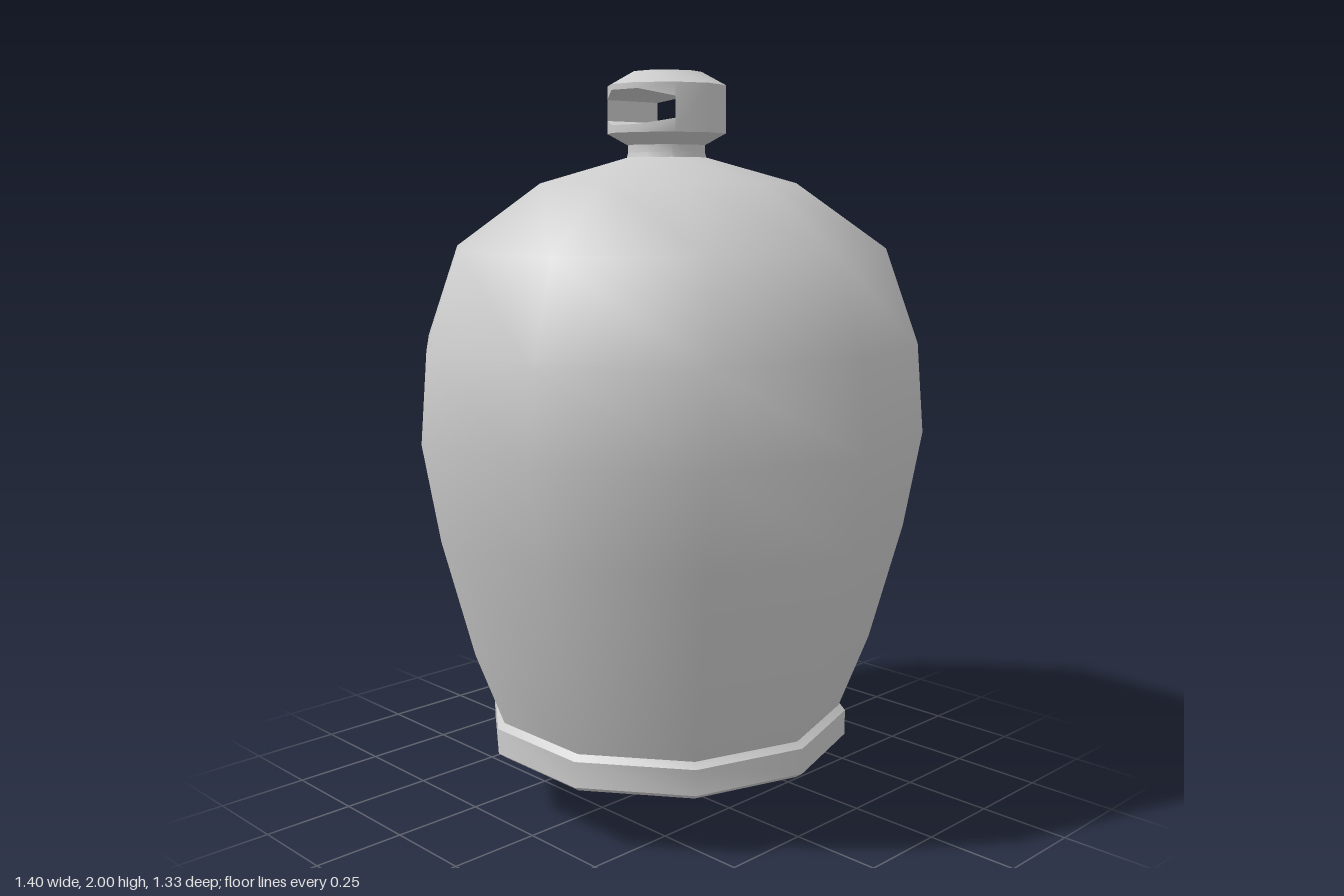
import * as THREE from 'three';
import { toCreasedNormals } from 'three/addons/utils/BufferGeometryUtils.js';

const SIDES = 10;

export function createModel() {
  const group = new THREE.Group();
  const material = new THREE.MeshStandardMaterial({ color: 0xcccccc, side: THREE.DoubleSide });

  const add = (name, geometry) => {
    const mesh = new THREE.Mesh(geometry, material);
    mesh.name = name;
    group.add(mesh);
  };
  // Ten-sided turned part with a corner on the x axis
  const turn = (name, profile, crease = 0) => {
    const points = profile.map(([r, y]) => new THREE.Vector2(r, y));
    const geometry = new THREE.LatheGeometry(points, SIDES, Math.PI / 2);
    add(name, crease ? toCreasedNormals(geometry, crease) : geometry);
  };

  // Bell shell, outside and inside
  const shell = [[0.49, 0.26], [0.57, 0.47], [0.655, 0.79], [0.70, 1.05],
    [0.68, 1.29], [0.59, 1.54], [0.35, 1.71], [0.10, 1.78]];
  turn('bellBody', [...shell, [0, 1.785]]);
  const inside = shell.map(([r, y]) => [Math.max(r - 0.03, 0), y - 0.025]);
  turn('bellInside', [[0.46, 0.18], ...inside, [0, 1.755]].reverse());

  // Lip band around the mouth
  turn('rim', [[0.46, 0.18], [0.47, 0.165], [0.49, 0.165], [0.51, 0.18],
    [0.51, 0.25], [0.485, 0.27], [0.46, 0.27]], 0.66);

  // Clapper hanging inside
  turn('clapper', [[0, 0], [0.04, 0.003], [0.10, 0.03], [0.15, 0.07], [0.187, 0.12],
    [0.20, 0.18], [0.185, 0.25], [0.14, 0.33], [0.095, 0.40], [0.075, 0.48],
    [0.06, 0.70], [0.05, 1.75]]);

  // Neck, lower bevel and upper cap of the hanging knob
  turn('neck', [[0.11, 1.77], [0.105, 1.79], [0.105, 1.815]], 0.66);
  turn('knobBase', [[0.105, 1.81], [0.16, 1.84]], 0.66);
  turn('knobCap', [[0.16, 1.965], [0.095, 2.0], [0, 2.0]], 0.4);

  add('knobLoop', knobLoop(1.84, 1.965));
  return group;
}

// Ten-sided band pierced from front to back
function knobLoop(bottom, top) {
  const x = [-0.16, -0.13, -0.05, 0.05, 0.13, 0.16];
  const z = [0, 0.094, 0.152, 0.152, 0.094, 0];
  const low = [0, 1.875, 1.86, 1.86, 1.875, 0];
  const high = [0, 1.93, 1.95, 1.95, 1.93, 0];
  const positions = [];
  const quad = (a, b, c, d) => positions.push(...a, ...b, ...c, ...a, ...c, ...d);

  for (let i = 0; i < 5; i++) {
    const j = i + 1;
    // Front and back walls between two heights at each corner
    const walls = (y0, y1, y2, y3) => {
      quad([x[i], y0, z[i]], [x[j], y1, z[j]], [x[j], y2, z[j]], [x[i], y3, z[i]]);
      quad([x[j], y1, -z[j]], [x[i], y0, -z[i]], [x[i], y3, -z[i]], [x[j], y2, -z[j]]);
    };
    if (i === 0 || i === 4) {
      walls(bottom, bottom, top, top);
      continue;
    }
    walls(bottom, bottom, low[j], low[i]);
    walls(high[i], high[j], top, top);
    // Floor and ceiling of the opening
    quad([x[i], low[i], z[i]], [x[j], low[j], z[j]], [x[j], low[j], -z[j]], [x[i], low[i], -z[i]]);
    quad([x[i], high[i], -z[i]], [x[j], high[j], -z[j]], [x[j], high[j], z[j]], [x[i], high[i], z[i]]);
  }
  // Inner faces of the two side posts
  quad([x[1], low[1], z[1]], [x[1], low[1], -z[1]], [x[1], high[1], -z[1]], [x[1], high[1], z[1]]);
  quad([x[4], low[4], -z[4]], [x[4], low[4], z[4]], [x[4], high[4], z[4]], [x[4], high[4], -z[4]]);

  const geometry = new THREE.BufferGeometry();
  geometry.setAttribute('position', new THREE.Float32BufferAttribute(positions, 3));
  return toCreasedNormals(geometry, 0.66);
}
